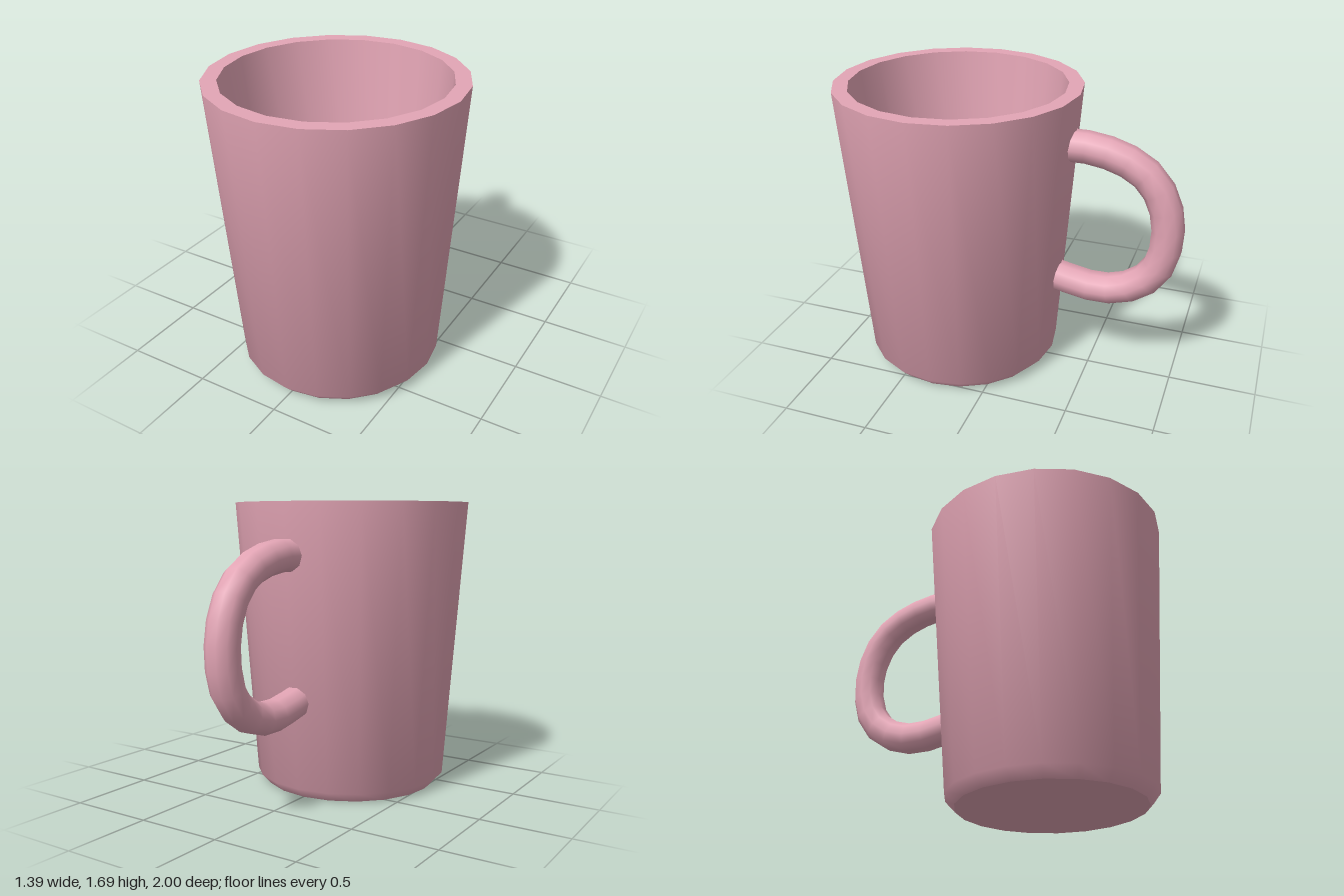
import * as THREE from 'three';
import { toCreasedNormals } from 'three/addons/utils/BufferGeometryUtils.js';

export function createModel() {
  const model = new THREE.Group();
  model.name = 'mug';
  const material = new THREE.MeshStandardMaterial({ color: 0xe3a5b5 });

  // Cup: one lathed profile, outside from the base up, over the rim and down to the inner floor
  const profile = [
    [0, 0], [0.52, 0], [0.575, 0.06], [0.695, 1.69],
    [0.61, 1.69], [0.465, 0.1], [0, 0.1],
  ].map(([r, y]) => new THREE.Vector2(r, y));
  const cup = new THREE.Mesh(toCreasedNormals(new THREE.LatheGeometry(profile, 20), 0.75), material);
  cup.name = 'cup';
  cup.position.z = 0.305;
  model.add(cup);

  // Handle: round tube swept along [y, z] points, both ends sunk into the wall
  const path = [
    [1.4, -0.32], [1.4, -0.45], [1.375, -0.59], [1.33, -0.705], [1.26, -0.8],
    [1.16, -0.867], [1.05, -0.903], [0.935, -0.914], [0.805, -0.898], [0.69, -0.85],
    [0.605, -0.76], [0.553, -0.65], [0.538, -0.52], [0.557, -0.385], [0.585, -0.25],
  ].map(([y, z]) => new THREE.Vector3(0, y, z));
  const curve = new THREE.CatmullRomCurve3(path);
  const handle = new THREE.Mesh(new THREE.TubeGeometry(curve, 15, 0.092, 10), material);
  handle.name = 'handle';
  model.add(handle);

  return model;
}
